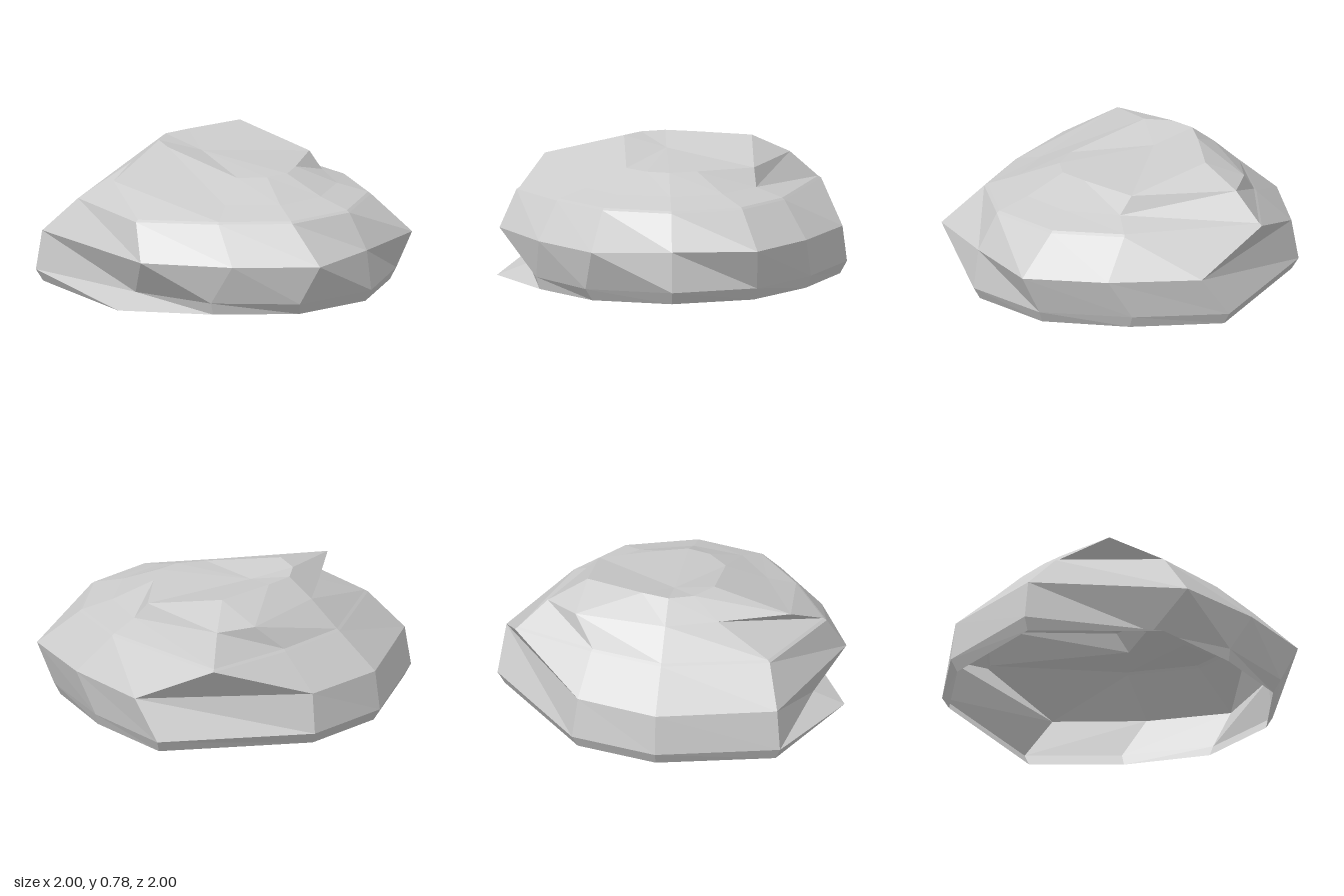
import * as THREE from 'three';

// Ten-sided cross-sections [x, z] or [x, z, y], running from +x round through +z.
const base = [[.96, .03], [.81, .48], [.41, .77], [-.09, 1], [-.81, .7],
  [-.96, .03], [-.81, -.44], [-.09, -.96], [.41, -.75], [.81, -.44]];
const foot = [[1, .03], [.84, .52], [.41, .79], [-.09, .82], [-.84, .73],
  [-1, .03], [-.84, -.47], [-.1, -1], [.41, -.78], [.84, -.46]];
const waist = [[.97, .03], [.96, .49], [.55, .78], [.06, .99], [-.81, .71],
  [-.97, .03], [-.81, -.44], [.06, -.97], [.55, -.75], [.95, -.46]];
const shoulder = [[.85, .03], [.72, .42], [.38, .67], [-.04, .89], [-.61, .64],
  [-.74, .03], [-.61, -.39], [-.39, -.86], [.38, -.63], [.72, -.38]];
const terrace = [[.65, .03, .57], [.57, .32, .57], [.31, .5, .57], [-.31, .72, .67], [-.46, .32, .67],
  [-.56, .03, .67], [-.47, -.5, .67], [-.32, -.68, .67], [.32, -.47, .57], [.56, -.27, .57]];
const crown = [[.42, .03, .67], [.37, .16, .67], [.24, .27, .67], [-.24, .27, .78], [-.37, .17, .78],
  [-.42, .03, .78], [-.37, -.13, .78], [-.24, -.46, .78], [.24, -.46, .67], [.37, -.13, .67]];

const ring = (points, y) => points.map(([x, z, h]) => new THREE.Vector3(x, h ?? y, z));
// Slightly smaller copy of a ring, giving a thin ledge
const ledge = (points, rise) => points.map(p => new THREE.Vector3(p.x * 0.98, p.y + rise, p.z * 0.98));

function meshFrom(name, triangles, material) {
  const geometry = new THREE.BufferGeometry().setFromPoints(triangles);
  geometry.computeVertexNormals();
  const mesh = new THREE.Mesh(geometry, material);
  mesh.name = name;
  return mesh;
}

// Facets joining a stack of rings, bottom to top
function loft(rings) {
  const out = [];
  for (let r = 0; r + 1 < rings.length; r++) {
    const lo = rings[r], hi = rings[r + 1];
    lo.forEach((a, i) => {
      const j = (i + 1) % lo.length;
      out.push(a, hi[i], hi[j], a, hi[j], lo[j]);
    });
  }
  return out;
}

export function createModel() {
  const group = new THREE.Group();
  group.name = 'rock';
  const material = new THREE.MeshStandardMaterial({
    color: 0xcccccc, flatShading: true, side: THREE.DoubleSide,
  });

  const waistRing = ring(waist, 0.3);
  const shoulderRing = ring(shoulder, 0.505);
  const terraceRing = ring(terrace);
  const crownRing = ring(crown);

  // Hollow lower body, open underneath
  group.add(meshFrom('lowerBody', loft([ring(base, 0), ring(foot, 0.07), waistRing]), material));
  // Sloping sides up to the shoulder
  group.add(meshFrom('slopes', loft([waistRing, shoulderRing]), material));
  // Ledge and uneven upper terraces
  group.add(meshFrom('terraces', loft([shoulderRing, ledge(shoulderRing, 0.012), terraceRing, crownRing]), material));

  // Faceted summit with a shallow dip
  const centre = new THREE.Vector3(-0.17, 0.72, 0.03);
  const summit = crownRing.flatMap((p, i) => [p, centre, crownRing[(i + 1) % crownRing.length]]);
  group.add(meshFrom('summit', summit, material));

  return group;
}
